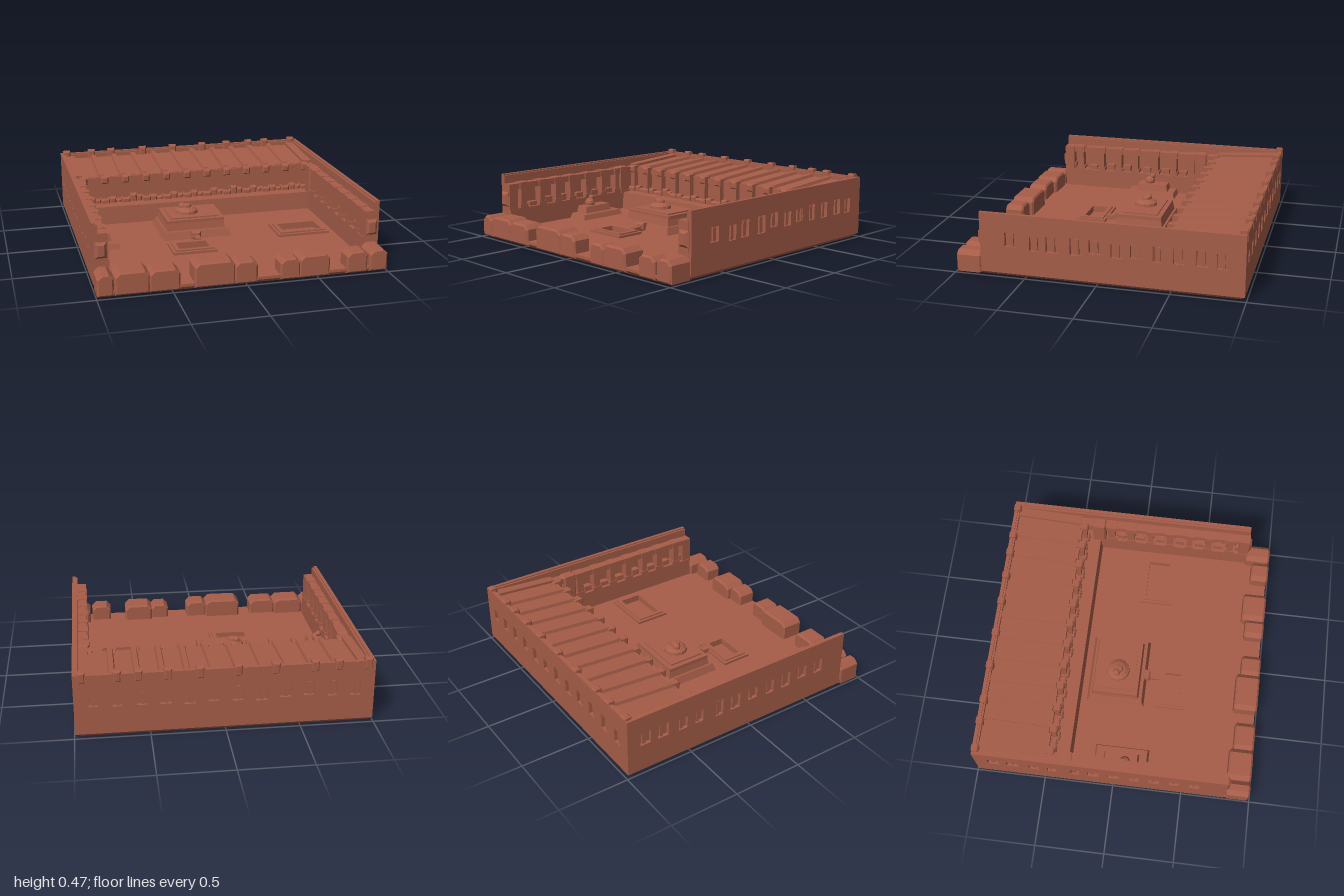
import * as THREE from 'three';

const clay = new THREE.MeshStandardMaterial({ color: 0xa65d48, flatShading: true, side: THREE.DoubleSide });

// small seeded generator for the hand-worn irregularity
let seed = 7;
const rnd = (a, b) => {
  seed = (seed * 16807) % 2147483647;
  return a + (b - a) * (seed / 2147483647);
};

function add(parent, name, geometry, x = 0, y = 0, z = 0) {
  const m = new THREE.Mesh(geometry, clay);
  m.name = name;
  m.position.set(x, y, z);
  parent.add(m);
  return m;
}

// box given by its min/max extents
function block(parent, name, x0, x1, y0, y1, z0, z1) {
  return add(parent, name, new THREE.BoxGeometry(x1 - x0, y1 - y0, z1 - z0), (x0 + x1) / 2, (y0 + y1) / 2, (z0 + z1) / 2);
}

// block whose top (or bottom) face is drawn inwards by an inset
function tapered(parent, name, x0, x1, y0, y1, z0, z1, inset, atTop = true) {
  const m = block(parent, name, x0, x1, y0, y1, z0, z1);
  const p = m.geometry.attributes.position;
  for (let i = 0; i < p.count; i++) {
    if ((p.getY(i) > 0) !== atTop) continue;
    p.setX(i, p.getX(i) - Math.sign(p.getX(i)) * inset);
    p.setZ(i, p.getZ(i) - Math.sign(p.getZ(i)) * inset);
  }
  m.geometry.computeVertexNormals();
  return m;
}

const trace = (path, x0, x1, y0, y1) => {
  path.moveTo(x0, y0);
  path.lineTo(x1, y0);
  path.lineTo(x1, y1);
  path.lineTo(x0, y1);
  path.closePath();
  return path;
};

// flat panel with rectangular holes [x0, x1, y0, y1]
function pierced(x0, x1, y0, y1, holes, depth) {
  const s = trace(new THREE.Shape(), x0, x1, y0, y1);
  holes.forEach(h => s.holes.push(trace(new THREE.Path(), ...h)));
  return new THREE.ExtrudeGeometry(s, { depth, bevelEnabled: false });
}

// small stone with chamfered edges all round
function stone(parent, name, x0, x1, y0, y1, z0, z1, b = 0.01) {
  const s = trace(new THREE.Shape(), x0 + b, x1 - b, y0 + b, y1 - b);
  const g = new THREE.ExtrudeGeometry(s, { depth: z1 - z0 - 2 * b, bevelSize: b, bevelThickness: b, bevelSegments: 1 });
  return add(parent, name, g, 0, 0, z0 + b);
}

// big wall stone: upright sides, top corners cut off
function frontStone(parent, x0, x1, top, z0) {
  const b = 0.012, c = 0.025, z1 = 0.99;
  const s = new THREE.Shape([[x0 + b, 0.03], [x1 - b, 0.03], [x1 - b, top - b - c], [x1 - b - c, top - b], [x0 + b + c, top - b], [x0 + b, top - b - c]]
    .map(p => new THREE.Vector2(...p)));
  const g = new THREE.ExtrudeGeometry(s, { depth: z1 - z0 - 2 * b, bevelSize: b, bevelThickness: b, bevelSegments: 1 });
  add(parent, 'frontStone', g, 0, 0, z0 + b);
}

const pools = [[-0.38, -0.06, 0.24, 0.46], [0.45, 0.84, 0.02, 0.28]];

function buildBase(g) {
  tapered(g, 'underside', -0.99, 0.99, 0.008, 0.035, -0.99, 0.985, 0.03, false);
  const holes = pools.map(([a, b, c, d]) => [a + 0.05, b - 0.05, -d + 0.05, -c - 0.05]);
  const floor = add(g, 'courtyardFloor', pierced(-0.99, 0.99, -0.985, 0.99, holes, 0.02), 0, 0.035, 0);
  floor.rotation.x = -Math.PI / 2;
  pools.forEach(([a, b, c, d], i) => {
    // raised kerb with a stepped edge
    const rim = (name, out, y, depth) => {
      const k = pierced(a + out, b - out, -d + out, -c - out, [holes[i]], depth);
      add(g, name, k, 0, y, 0).rotation.x = -Math.PI / 2;
    };
    rim('poolKerb', 0, 0.055, 0.018);
    rim('poolLip', 0.02, 0.073, 0.01);
  });
}

// outer wall with shallow window niches, built along x and facing +z
function nichedWall(name, x0, x1, niches) {
  const g = new THREE.Group();
  g.name = name;
  const holes = niches.map(n => {
    const w = rnd(0.028, 0.042);
    return [n - w, n + w, rnd(0.21, 0.235), rnd(0.31, 0.335)];
  });
  add(g, 'pierced', pierced(x0, x1, 0.035, 0.46, holes, 0.025));
  block(g, 'nicheBacking', x0, x1, 0.06, 0.45, -0.014, 0);
  for (const n of niches) block(g, 'nichePost', n - 0.005, n + 0.018, 0.21, 0.32, 0, 0.013);
  return g;
}

function buildSideWall(side) {
  const g = new THREE.Group();
  g.name = side < 0 ? 'rightWall' : 'leftWall';
  const niches = Array.from({ length: 11 }, (_, i) => -0.58 + i * 0.143 + rnd(-0.015, 0.015));
  const wall = nichedWall('outerWall', -0.81, 0.99, niches);
  wall.rotation.y = side * Math.PI / 2;
  wall.position.x = side * 0.97;
  // keep the long end towards the back on both sides
  wall.scale.x = side;
  g.add(wall);
  const span = (name, a, b, y0, y1, z0, z1) =>
    block(g, name, Math.min(side * a, side * b), Math.max(side * a, side * b), y0, y1, z0, z1);
  span('ledge', 0.885, 0.97, 0.05, 0.2, -0.4, 0.81);
  span('lintel', 0.895, 0.97, 0.345, 0.39, -0.97, 0.81);
  span('endPier', 0.89, 0.97, 0.19, 0.39, 0.74, 0.815);
  stone(g, 'endBulge', side * 0.94 - 0.04, side * 0.94 + 0.04, 0.22, 0.33, 0.79, 0.835, 0.018);
  // inner colonnade
  for (let i = 0; i < 7; i++) {
    const z = -0.26 + i * 0.155 + rnd(-0.015, 0.015), w = rnd(0.02, 0.028);
    span('pillar', 0.89, 0.955, 0.19, 0.36, z - w, z + w);
    span('capital', 0.885, 0.96, 0.35, 0.395, z - w - 0.01, z + w + 0.01);
    span('pillarFoot', 0.885, 0.96, 0.19, 0.225, z - w - 0.01, z + w + 0.01);
    span('sill', 0.91, 0.96, 0.19, 0.23 + rnd(0, 0.02), z + 0.045, z + 0.11);
  }
  stone(g, 'cornerBlock', side * 0.935 - 0.055, side * 0.935 + 0.055, 0.18, 0.4, -0.39, -0.29);
  return g;
}

function buildVeranda(g) {
  const back = nichedWall('backWall', -0.99, 0.99, Array.from({ length: 12 }, (_, i) => -0.87 + i * 0.158));
  back.rotation.y = Math.PI;
  back.position.z = -0.965;
  g.add(back);
  // small blocks along the wall top
  for (const x of [-0.95, -0.75, -0.59, -0.33, -0.08, 0.17, 0.38, 0.57, 0.71, 0.94])
    stone(g, 'copingBlock', x - 0.028, x + 0.028, 0.4, 0.48, -0.995, -0.94);

  tapered(g, 'verandaPlatform', -0.97, 0.97, 0.05, 0.19, -0.97, -0.318, 0.012);
  block(g, 'innerWall', -0.95, 0.95, 0.18, 0.39, -0.57, -0.54);
  block(g, 'eaveBeam', -0.9, 0.9, 0.345, 0.385, -0.51, -0.465);

  // gently sloping roof with battens
  const roof = new THREE.Group();
  roof.name = 'roof';
  roof.position.set(0, 0.405, -0.725);
  roof.rotation.x = 0.07;
  block(roof, 'roofSlab', -0.97, 0.97, -0.02, 0, -0.245, 0.245);
  for (const s of [-1, 1]) block(roof, 'roofEdge', s * 0.93 - 0.04, s * 0.93 + 0.04, -0.01, 0.02, -0.245, 0.25);
  for (let i = 0; i < 10; i++) {
    const b = tapered(roof, 'batten', -0.025, 0.025, -0.005, 0.022, -0.24, 0.255, 0.008);
    b.position.x = -0.74 + i * 0.1645;
    b.rotation.y = rnd(-0.02, 0.02);
  }
  g.add(roof);

  // colonnade under the eaves
  for (let i = 0; i < 12; i++) {
    const x = -0.885 + i * 0.161;
    block(g, 'pillar', x - 0.02, x + 0.02, 0.18, 0.37, -0.475, -0.435);
    stone(g, 'capital', x - 0.028, x + 0.028, 0.345, 0.4, -0.495, -0.42);
    stone(g, 'pillarFoot', x - 0.034, x + 0.034, 0.18, 0.225, -0.485, -0.415);
    if (i === 11) continue;
    const h = rnd(0.225, 0.25);
    stone(g, 'parapetStone', x + 0.035, x + 0.085, 0.18, h, -0.48, -0.425);
    stone(g, 'parapetStone', x + 0.082, x + 0.128, 0.18, h - 0.015, -0.475, -0.43);
    block(g, 'windowFrame', x + 0.04, x + 0.12, 0.23, 0.33, -0.545, -0.525);
  }
}

function buildShrines(g) {
  // stepped central plinth
  tapered(g, 'plinthBase', -0.39, 0.125, 0.05, 0.11, -0.275, 0.155, 0.02);
  tapered(g, 'plinthMiddle', -0.355, 0.085, 0.105, 0.165, -0.24, 0.11, 0.01);
  block(g, 'plinthTop', -0.35, 0.08, 0.16, 0.185, -0.23, 0.1);
  block(g, 'plinthCap', -0.315, 0.045, 0.18, 0.195, -0.195, 0.07);
  const profile = [[0.085, 0], [0.082, 0.022], [0.055, 0.038], [0.035, 0.042], [0.032, 0.06], [0, 0.068]];
  const lathe = new THREE.LatheGeometry(profile.map(p => new THREE.Vector2(...p)), 12);
  add(g, 'finial', lathe, -0.17, 0.194, -0.06);
  add(g, 'finialKnob', new THREE.IcosahedronGeometry(0.028, 1), -0.2, 0.24, -0.07);
  // spout leading to the pool
  block(g, 'spout', -0.17, -0.13, 0.05, 0.09, 0.13, 0.25);
  stone(g, 'spoutHead', -0.185, -0.115, 0.06, 0.115, 0.12, 0.18, 0.012);

  // small altar against the side wall
  tapered(g, 'altarBase', -0.89, -0.715, 0.05, 0.095, -0.16, 0.24, 0.015);
  tapered(g, 'altarTop', -0.89, -0.77, 0.09, 0.145, -0.09, 0.17, 0.012);
  add(g, 'altarFigure', new THREE.IcosahedronGeometry(0.04, 1), -0.845, 0.16, 0.07);
  add(g, 'altarFigureHead', new THREE.IcosahedronGeometry(0.022, 1), -0.85, 0.2, 0.05);
}

// row of broken wall stones along the front: x0, x1, top, z0
const frontStones = [
  [-0.995, -0.885, 0.17, 0.82], [-0.88, -0.65, 0.175, 0.82], [-0.655, -0.45, 0.17, 0.845],
  [-0.355, -0.08, 0.19, 0.82], [-0.085, 0.075, 0.175, 0.85], [0.23, 0.37, 0.165, 0.85],
  [0.365, 0.58, 0.175, 0.82], [0.7, 0.85, 0.17, 0.86], [0.865, 0.995, 0.17, 0.81],
];

export function createModel() {
  const model = new THREE.Group();
  model.name = 'walledCourtyard';
  const part = (name, build) => {
    const g = new THREE.Group();
    g.name = name;
    build(g);
    model.add(g);
  };
  part('base', buildBase);
  part('veranda', buildVeranda);
  part('shrines', buildShrines);
  part('frontWall', g => frontStones.forEach(s => frontStone(g, ...s)));
  model.add(buildSideWall(-1), buildSideWall(1));
  return model;
}
